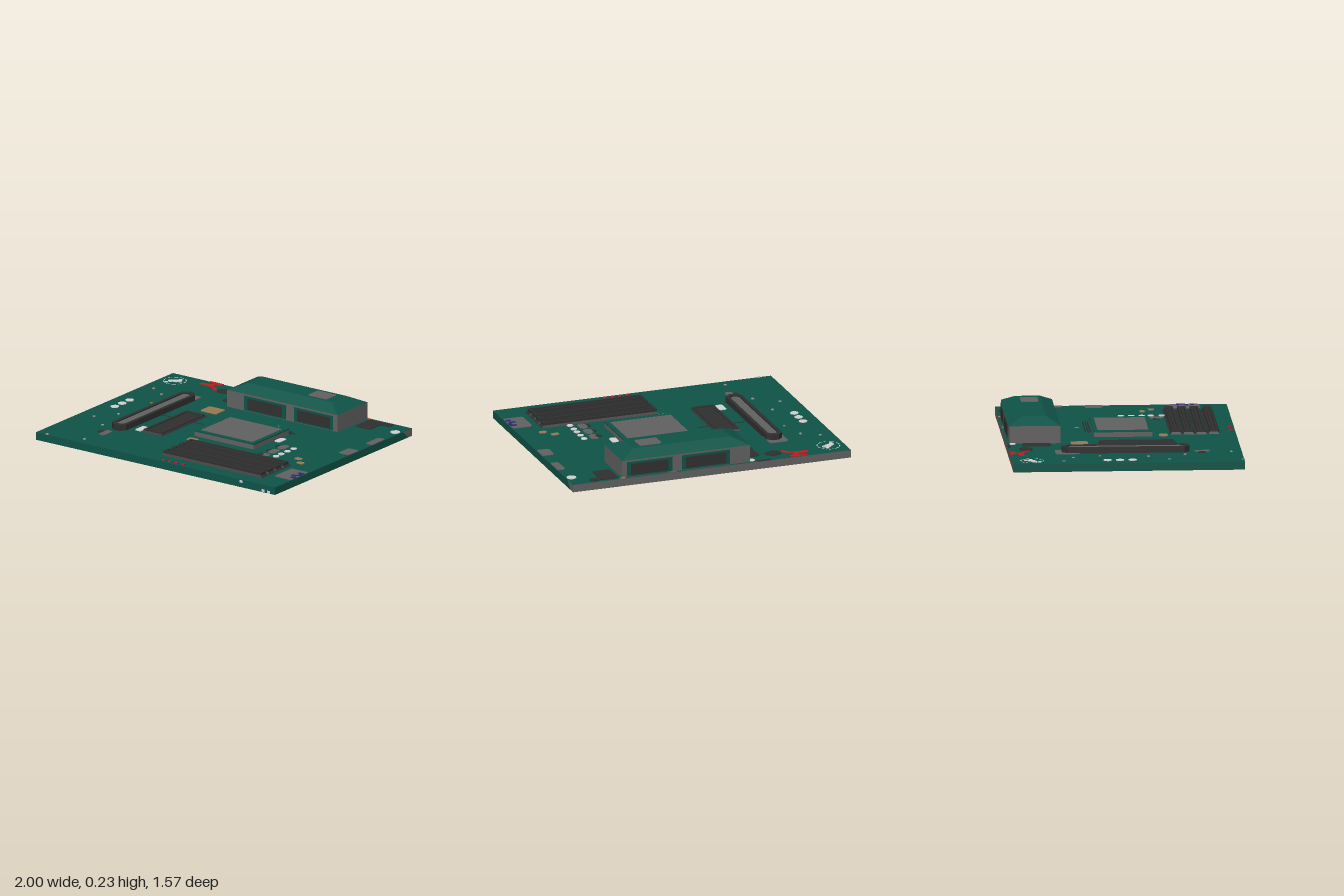
import * as THREE from 'three';

const mat = (name, color) => {
  const m = new THREE.MeshStandardMaterial({ color });
  m.name = name;
  return m;
};

export function createModel() {
  const root = new THREE.Group();
  root.name = 'circuitBoard';
  const green = mat('boardGreen', 0x0f5347);
  const dark = mat('darkPlastic', 0x303030);
  const grey = mat('metalGrey', 0x626262);
  const white = mat('white', 0xd2d2d2);
  const tan = mat('tan', 0x977a54);
  const red = mat('red', 0xb42020);
  const blue = mat('blue', 0x25287a);
  const pale = mat('paleGrey', 0x939393);
  const TOP = 0.055;

  const add = (name, geo, m, x = 0, y = 0, z = 0, parent = root) => {
    const mesh = new THREE.Mesh(geo, m);
    mesh.name = name;
    mesh.position.set(x, y, z);
    parent.add(mesh);
    return mesh;
  };
  // box given by its extents
  const box = (name, m, x0, x1, y0, y1, z0, z1, parent) =>
    add(name, new THREE.BoxGeometry(x1 - x0, y1 - y0, z1 - z0), m,
      (x0 + x1) / 2, (y0 + y1) / 2, (z0 + z1) / 2, parent);
  // box whose top is drawn in on every side
  const taper = (name, m, x0, x1, y0, y1, z0, z1, ix, iz, parent) => {
    const g = new THREE.BoxGeometry(x1 - x0, y1 - y0, z1 - z0).toNonIndexed();
    const p = g.attributes.position;
    for (let i = 0; i < p.count; i++) {
      if (p.getY(i) > 0) {
        p.setX(i, p.getX(i) - Math.sign(p.getX(i)) * ix);
        p.setZ(i, p.getZ(i) - Math.sign(p.getZ(i)) * iz);
      }
    }
    g.computeVertexNormals();
    return add(name, g, m, (x0 + x1) / 2, (y0 + y1) / 2, (z0 + z1) / 2, parent);
  };
  // slab cut from an outline of [x, z] points, with an optional hole
  const slab = (name, m, pts, top, h = 0.004, hole = null, parent = root) => {
    const vec = (a) => a.map(([x, z]) => new THREE.Vector2(x, z));
    const s = new THREE.Shape(vec(pts));
    if (hole) s.holes.push(new THREE.Path(vec(hole)));
    const g = new THREE.ExtrudeGeometry(s, { depth: h, bevelEnabled: false });
    g.rotateX(Math.PI / 2);
    return add(name, g, m, 0, top, 0, parent);
  };
  // rectangle outline with cut corners
  const rect = (x0, x1, z0, z1, c = 0) => c === 0
    ? [[x0, z0], [x1, z0], [x1, z1], [x0, z1]]
    : [[x0 + c, z0], [x1 - c, z0], [x1, z0 + c], [x1, z1 - c],
      [x1 - c, z1], [x0 + c, z1], [x0, z1 - c], [x0, z0 + c]];
  const patch = (name, m, x0, x1, z0, z1, c = 0.012, y = TOP + 0.004) =>
    slab(name, m, rect(x0, x1, z0, z1, c), y);
  const dot = (name, m, x, z, r) =>
    add(name, new THREE.CylinderGeometry(r, r, 0.005, 9), m, x, TOP + 0.0025, z);

  // Board with a bare grey rear edge
  add('board', new THREE.BoxGeometry(1.998, TOP - 0.002, 1.566),
    [green, green, green, green, green, grey], 0, (TOP + 0.002) / 2, 0);

  // Hip-topped port housing with openings front and rear
  const housing = new THREE.Group();
  housing.name = 'portHousing';
  root.add(housing);
  box('housingWalls', grey, -0.28, 0.64, TOP, 0.175, -0.765, -0.42, housing);
  taper('housingLid', green, -0.28, 0.64, 0.175, 0.222, -0.765, -0.42, 0.11, 0.09, housing);
  for (const [x0, x1] of [[-0.135, 0.21], [0.28, 0.605]]) {
    for (const [z, s] of [[-0.42, 1], [-0.765, -1]]) {
      box('portFrame', green, x0, x1, 0.06, 0.162, z - 0.004, z + 0.004, housing);
      box('portOpening', dark, x0 + 0.028, x1 - 0.028, 0.07, 0.148,
        z + s * 0.003 - 0.004, z + s * 0.003 + 0.004, housing);
    }
  }
  patch('lidLabel', grey, 0.31, 0.47, -0.65, -0.53, 0.012, 0.225);

  // Processor socket
  box('socketBase', grey, -0.09, 0.405, TOP, 0.088, -0.182, 0.215);
  slab('socketRim', green, rect(-0.092, 0.407, -0.184, 0.217), 0.097, 0.009,
    rect(-0.06, 0.375, -0.155, 0.19));
  box('processor', grey, -0.063, 0.378, 0.086, 0.096, -0.16, 0.195);
  for (const [x0, x1, z] of [[0.09, 0.4, -0.227], [0.05, 0.44, -0.21], [0.09, 0.42, -0.195]])
    box('socketLever', dark, x0, x1, TOP, 0.062, z - 0.003, z + 0.003);

  // Memory slots
  for (let i = 0; i < 4; i++) {
    const z = 0.378 + i * 0.0855;
    taper('memorySlotBase', dark, -0.035, 0.81, TOP, 0.07, z - 0.042, z + 0.042, 0.016, 0.016);
    slab('memorySlotRim', dark, rect(-0.02, 0.795, z - 0.028, z + 0.028), 0.085, 0.016,
      rect(0, 0.775, z - 0.015, z + 0.015));
    box('memorySlotKey', dark, 0.01, 0.765, 0.068, 0.08, z - 0.008, z + 0.008);
  }

  // Long expansion slot with pointed ends
  const longSlot = (x0, x1, z0, z1, c) =>
    [[x0 + c, z0], [x1 - c, z0], [x1, z0 + c], [x1, z1 - c], [x1 - c, z1], [x0 + c, z1], [x0, z1 - c], [x0, z0 + c]];
  slab('expansionSlot', dark, longSlot(-0.645, -0.53, -0.43, 0.43, 0.035), 0.096, 0.042,
    longSlot(-0.622, -0.553, -0.395, 0.395, 0.022));
  slab('expansionInsert', grey, longSlot(-0.618, -0.557, -0.39, 0.39, 0.02), 0.09, 0.036);
  patch('expansionBase', grey, -0.665, -0.53, -0.475, -0.31);

  // Controller chip
  taper('chipBase', dark, -0.435, -0.26, TOP, 0.066, -0.165, 0.355, 0.012, 0.012);
  slab('chipRim', dark, rect(-0.423, -0.272, -0.153, 0.343), 0.072, 0.008,
    rect(-0.405, -0.29, -0.13, 0.32));
  box('chipTrace', dark, -0.53, -0.18, TOP, 0.058, -0.017, -0.012);

  // Flat patches on the board
  const patches = [
    ['rearConnector', dark, -0.38, -0.28, -0.68, -0.49],
    ['cornerConnector', dark, 0.665, 0.79, -0.76, -0.585],
    ['rearPad', dark, -0.43, -0.33, -0.782, -0.765],
    ['rearPad', grey, 0.25, 0.31, -0.782, -0.765],
    ['sidePad', grey, 0.94, 0.997, -0.48, -0.33],
    ['sidePad', grey, 0.91, 0.997, -0.18, -0.06],
    ['sidePort', grey, 0.855, 0.997, 0.395, 0.595],
    ['smallChip', tan, -0.375, -0.24, -0.35, -0.235],
    ['smallChip', tan, -0.088, -0.012, 0.26, 0.32],
    ['smallChip', tan, 0.74, 0.795, 0.178, 0.218],
    ['smallChip', tan, 0.805, 0.858, 0.24, 0.282],
    ['smallChip', tan, 0.62, 0.655, -0.782, -0.765],
    ['whitePart', white, -0.49, -0.435, 0.255, 0.355],
    ['whitePart', white, 0.41, 0.46, -0.095, -0.005],
    ['coil', dark, -0.67, -0.63, 0.485, 0.54],
    ['coil', grey, -0.635, -0.585, 0.465, 0.57],
  ];
  for (const [n, m, x0, x1, z0, z1] of patches)
    patch(n, m, x0, x1, z0, z1, Math.min(0.012, (z1 - z0) * 0.25));
  patch('cornerConnectorArm', dark, 0.785, 0.86, -0.76, -0.71);
  dot('cornerConnectorEnd', dark, 0.84, -0.745, 0.025);
  const round = dot('roundConnector', dark, -0.48, -0.665, 0.045);
  round.scale.x = 1.3;

  // Row of regulators
  for (const z of [0.06, 0.168, 0.278]) {
    patch('regulatorTab', dark, 0.485, 0.525, z - 0.025, z + 0.025);
    patch('regulator', grey, 0.51, 0.57, z - 0.045, z + 0.045, 0.018);
  }

  // White capacitors
  for (const z of [0.045, 0.115, 0.185, 0.245, 0.32]) dot('capacitor', white, 0.615, z, 0.023);
  for (const z of [-0.14, -0.055, 0.03]) dot('largeCapacitor', white, -0.89, z, 0.03);
  dot('rearCapacitor', white, -0.3, -0.745, 0.022);
  dot('cornerCapacitor', white, 0.96, -0.645, 0.034);

  // Broken ring with a small centre mark
  for (let i = 0; i < 10; i++) {
    const g = new THREE.RingGeometry(0.073, 0.08, 4, 1, (i * Math.PI) / 5, 0.42);
    add('ringMark', g.rotateX(-Math.PI / 2), white, -0.885, TOP + 0.003, -0.65);
  }
  for (const [x, z, r] of [[-0.88, -0.655, 0.025], [-0.91, -0.635, 0.02], [-0.865, -0.69, 0.014],
    [-0.92, -0.6, 0.012], [-0.85, -0.66, 0.014]]) dot('ringCentre', white, x, z, r);

  // Red cable
  slab('redCable', red, [[-0.685, -0.782], [-0.57, -0.782], [-0.57, -0.75], [-0.605, -0.735],
    [-0.605, -0.7], [-0.565, -0.69], [-0.535, -0.645], [-0.56, -0.635], [-0.6, -0.685],
    [-0.715, -0.69], [-0.715, -0.725], [-0.64, -0.735], [-0.64, -0.755], [-0.685, -0.765]], TOP + 0.005);

  // Blue port markings
  for (const [x0, x1, z0, z1] of [[0.95, 0.997, 0.44, 0.46], [0.975, 0.997, 0.46, 0.5],
    [0.94, 0.98, 0.5, 0.52], [0.96, 0.997, 0.535, 0.56]])
    patch('bluePort', blue, x0, x1, z0, z1, 0.004, TOP + 0.007);

  // Header pins along the front
  for (const x of [0.047, 0.1, 0.153, 0.21]) {
    dot('headerPin', red, x, 0.755, 0.014);
    patch('headerPinBase', blue, x - 0.02, x + 0.02, 0.748, 0.758, 0.002);
  }

  // Tiny scattered components
  for (const [x, z] of [[-0.905, -0.435], [-0.79, -0.365], [-0.775, 0.145], [-0.88, 0.28],
    [-0.725, 0.395], [-0.645, 0.712], [-0.91, 0.775]]) dot('tinyPart', pale, x, z, 0.011);
  dot('tinyPart', tan, -0.74, -0.182, 0.01);
  box('tinyMark', white, 0.246, 0.254, TOP, 0.058, -0.29, -0.26);
  for (const [x, y] of [[0.715, 0.043], [0.9, 0.014], [0.945, 0.012]])
    box('edgeMark', white, x - 0.012, x + 0.012, y - 0.009, y + 0.009, 0.78, 0.7845);

  // Slanted bare corner on the side edge
  const corner = new THREE.ShapeGeometry(new THREE.Shape([
    new THREE.Vector2(0.68, 0.055), new THREE.Vector2(0.735, 0.004),
    new THREE.Vector2(0.783, 0.003), new THREE.Vector2(0.783, 0.055)]));
  add('bareCorner', corner.rotateY(Math.PI / 2), grey, 1, 0, 0);

  // Plates on the underside
  patch('undersidePlate', grey, -0.97, -0.56, 0.24, 0.62, 0.03, 0.0032);
  patch('undersidePlateEnd', grey, -0.6, -0.47, 0.4, 0.56, 0.02, 0.0032);
  box('undersideSlot', dark, -0.97, -0.71, 0, 0.003, 0.45, 0.53).position.y = 0.0005;
  return root;
}
